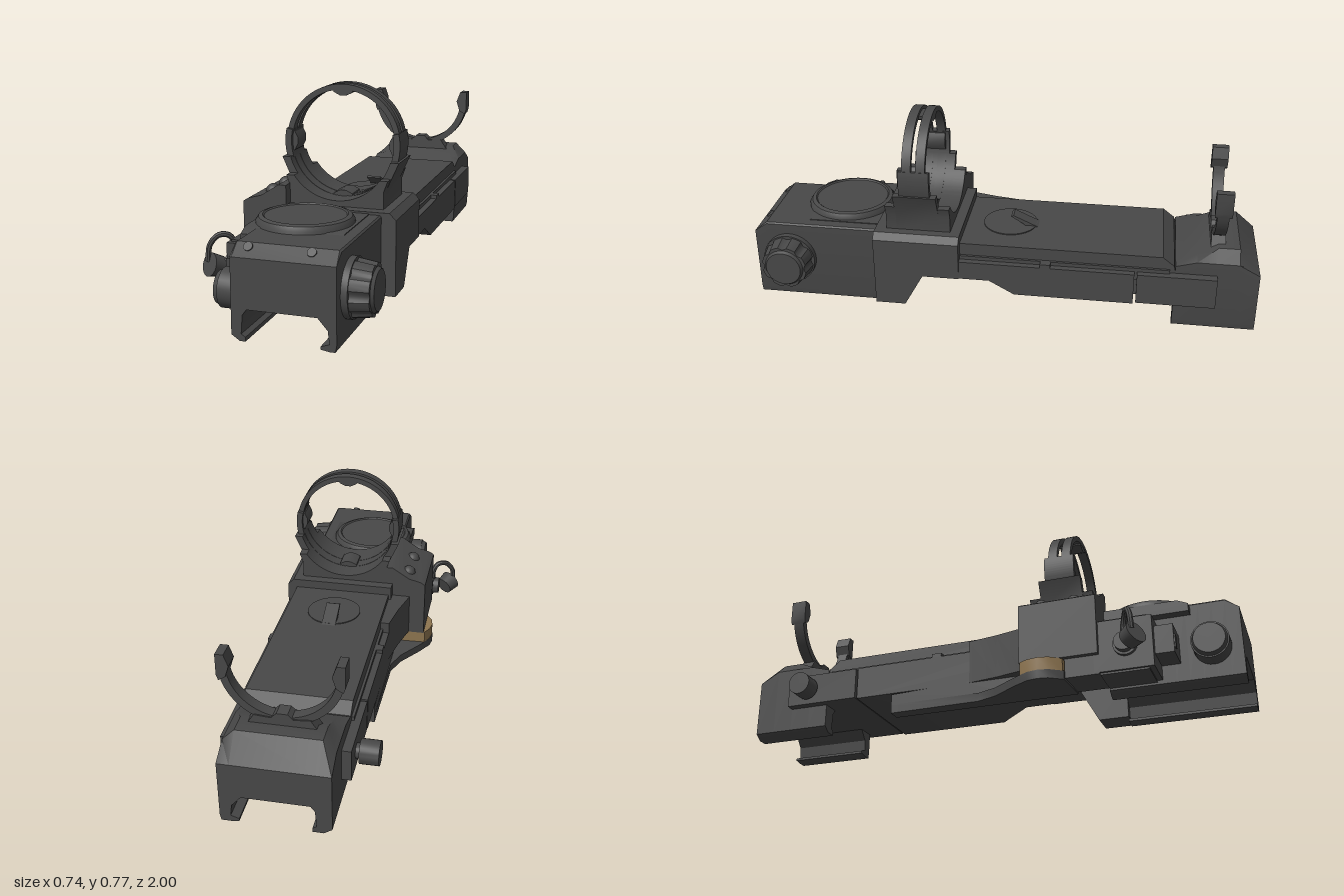
import * as THREE from 'three';
import { toCreasedNormals } from 'three/addons/utils/BufferGeometryUtils.js';

const grey = new THREE.MeshStandardMaterial({ color: 0x484848 });
grey.name = 'dark grey';
const gold = new THREE.MeshStandardMaterial({ color: 0x8e7550 });
gold.name = 'dull brass';

const CX = 0.08, CY = 0.555; // sight axis

export function createModel() {
  const root = new THREE.Group();
  root.name = 'railSight';

  const add = (name, geo, mat = grey) => {
    const m = new THREE.Mesh(toCreasedNormals(geo, 0.6), mat);
    m.name = name;
    root.add(m);
    return m;
  };
  const toShape = (p) => (p instanceof THREE.Shape ? p : new THREE.Shape(p.map(([a, b]) => new THREE.Vector2(a, b))));
  const ext = (p, depth, steps = 1) =>
    new THREE.ExtrudeGeometry(toShape(p), { depth, steps, bevelEnabled: false, curveSegments: 32 });
  // sections: (x,y) along z, (z,y) along x, (x,z) along y
  const alongZ = (p, z0, z1, steps) => ext(p, z1 - z0, steps).translate(0, 0, z0);
  const alongX = (p, x0, x1) => ext(p, x1 - x0).rotateY(-Math.PI / 2).translate(x1, 0, 0);
  const alongY = (p, y0, y1) => ext(p, y1 - y0).rotateX(Math.PI / 2).translate(0, y1, 0);
  const box = (x0, x1, y0, y1, z0, z1) =>
    new THREE.BoxGeometry(x1 - x0, y1 - y0, z1 - z0).translate((x0 + x1) / 2, (y0 + y1) / 2, (z0 + z1) / 2);
  // cylinder along x; r0 at x0, r1 at x1
  const cylX = (x0, x1, r0, r1, y, z, n = 28) =>
    new THREE.CylinderGeometry(r1, r0, x1 - x0, n).rotateZ(-Math.PI / 2).translate((x0 + x1) / 2, y, z);

  // Section of a block that clamps over a rail
  const clamp = (l, r, top, ch) => [
    [l, top - ch], [l, 0.02], [l + 0.03, 0], [-0.05, 0], [-0.05, 0.015], [-0.065, 0.025],
    [-0.06, 0.09], [-0.045, 0.11], [0.2, 0.11], [0.235, 0.07], [0.24, 0.025], [0.21, 0.015],
    [0.21, 0.005], [0.24, 0], [r - 0.005, 0], [r, 0.025], [r, top - ch], [r - ch, top], [l + ch, top]];

  // Front block, its top edge sloping at the nose
  const front = alongZ(clamp(-0.1, 0.265, 0.325, 0.006), 0.5, 1, 10);
  const fp = front.attributes.position;
  for (let i = 0; i < fp.count; i++) if (fp.getZ(i) > 0.98) fp.setY(i, Math.min(fp.getY(i), 0.285));
  front.computeVertexNormals();
  add('frontBlock', front);
  add('turretBase', alongX([[0.48, 0.28], [0.82, 0.28], [0.82, 0.31], [0.78, 0.328], [0.48, 0.328]], -0.14, 0.22));
  add('turretCap', new THREE.LatheGeometry([[0.175, 0.28], [0.175, 0.335], [0.165, 0.35], [0.15, 0.355], [0.145, 0.35], [0, 0.35]]
    .map(([a, b]) => new THREE.Vector2(a, b)), 48).translate(0.035, 0, 0.655));
  for (const x of [-0.048, 0.172]) {
    add('frontScrew', new THREE.CylinderGeometry(0.016, 0.016, 0.04, 16).rotateX(0.85).translate(x, 0.304, 0.955));
  }

  // Adjustment knob with a scalloped rim
  add('knobFlange', cylX(0.26, 0.288, 0.105, 0.105, 0.175, 0.86, 32));
  const knob = cylX(0.285, 0.355, 0.1, 0.09, 0, 0, 64);
  const kp = knob.attributes.position;
  for (let i = 0; i < kp.count; i++) {
    const s = 1 - 0.1 * Math.max(0, Math.cos(8 * Math.atan2(kp.getZ(i), kp.getY(i))));
    kp.setY(i, kp.getY(i) * s);
    kp.setZ(i, kp.getZ(i) * s);
  }
  add('knob', knob.translate(0, 0.175, 0.86));
  add('knobFace', cylX(0.354, 0.366, 0.078, 0.07, 0.175, 0.86, 32));

  // Switch side: battery box, round cover, port and tethered cap
  add('batteryBox', box(-0.25, -0.09, 0.035, 0.235, 0.48, 0.7));
  add('batteryLid', box(-0.24, -0.09, 0.028, 0.242, 0.5, 0.68));
  add('batteryStep', box(-0.22, -0.1, 0.09, 0.2, 0.69, 0.77));
  add('roundCover', cylX(-0.17, -0.09, 0.07, 0.07, 0.14, 0.89));
  add('roundCoverRim', cylX(-0.188, -0.168, 0.058, 0.066, 0.14, 0.89));
  add('coverLatch', box(-0.215, -0.19, 0.11, 0.16, 0.7, 0.775)).rotation.z = 0;
  add('port', cylX(-0.29, -0.24, 0.036, 0.036, 0.13, 0.6));
  add('portCollar', cylX(-0.265, -0.25, 0.045, 0.045, 0.13, 0.6));
  add('portCap', new THREE.CylinderGeometry(0.045, 0.038, 0.05, 20).rotateX(1.25).rotateY(-0.6).translate(-0.325, 0.125, 0.64));
  const strap = new THREE.CatmullRomCurve3([[-0.35, 0.14, 0.645], [-0.345, 0.2, 0.64], [-0.315, 0.237, 0.625],
    [-0.28, 0.235, 0.61], [-0.262, 0.2, 0.6], [-0.262, 0.15, 0.6]].map((a) => new THREE.Vector3(...a)));
  add('capStrap', new THREE.TubeGeometry(strap, 24, 0.011, 8));

  // Long body
  add('bodyCore', alongX([[0.5, 0.16], [0.04, 0.16], [-0.06, 0.105], [-0.525, 0.105], [-0.525, 0.235], [0.17, 0.235], [0.5, 0.235]], -0.155, 0.315));
  add('bodyDeck', alongX([[0.17, 0.2], [-0.69, 0.2], [-0.675, 0.265], [-0.63, 0.3], [0.17, 0.3]], -0.12, 0.28));
  add('bodyDeckEdge', box(-0.13, 0.29, 0.2, 0.25, -0.66, 0.17));
  add('rearLip', box(-0.155, 0.315, 0.11, 0.235, -0.84, -0.535));
  add('bodyLink', box(-0.11, 0.27, 0.12, 0.23, -0.7, -0.5));
  for (const z of [0.18, -0.18]) for (const x of [-0.142, 0.302]) {
    add('lipStud', box(x - 0.013, x + 0.013, 0.21, 0.25, z - 0.02, z + 0.02));
  }
  add('middleBlock', alongZ([[-0.13, 0.16], [0.32, 0.16], [0.32, 0.31], [0.295, 0.335], [-0.13, 0.335]], 0.16, 0.5));
  add('sideFoot', alongX([[0.5, 0.025], [0.38, 0.025], [0.3, 0.17], [0.5, 0.17]], 0.21, 0.32));

  // Toggle lever on the deck
  const disc = new THREE.Shape();
  disc.absarc(CX, -0.015, 0.108, 0, Math.PI * 2);
  const slot = new THREE.Path([[0.05, -0.12], [0.11, -0.12], [0.11, -0.02], [0.05, -0.02]].map((a) => new THREE.Vector2(...a)));
  disc.holes.push(slot);
  add('leverPlate', alongY(disc, 0.298, 0.304));
  add('lever', alongX([[-0.13, 0.3], [-0.03, 0.345], [-0.02, 0.34], [-0.07, 0.31], [-0.08, 0.3]], 0.052, 0.108));

  // Side housing with brass roller and lower slab
  add('sideHousing', alongZ([[-0.27, 0.105], [-0.1, 0.105], [-0.1, 0.41], [-0.13, 0.41], [-0.2, 0.365], [-0.25, 0.352], [-0.27, 0.34]], 0.2, 0.5));
  add('housingFoot', box(-0.25, -0.1, 0.03, 0.12, 0.37, 0.5));
  add('housingFairing', alongY([[-0.12, -0.04], [-0.155, -0.04], [-0.175, 0.08], [-0.205, 0.2], [-0.12, 0.2]], 0.105, 0.28));
  for (const z of [0.27, 0.4]) {
    add('housingBump', new THREE.SphereGeometry(0.028, 16, 10).translate(-0.19, 0.362, z));
  }
  add('slabFloor', alongY([[-0.1, -0.37], [-0.155, -0.37], [-0.16, 0], [-0.19, 0.08], [-0.26, 0.18], [-0.295, 0.24],
    [-0.302, 0.28], [-0.295, 0.32], [-0.26, 0.37], [-0.1, 0.38]], 0.022, 0.056));
  add('slabWall', alongX([[0.155, 0.03], [0.155, 0.16], [0.02, 0.16], [-0.06, 0.11], [-0.37, 0.1], [-0.37, 0.03]], -0.155, -0.1));
  add('brassRoller', alongY([[-0.13, 0.2], [-0.275, 0.205], [-0.293, 0.24], [-0.3, 0.28], [-0.293, 0.32], [-0.26, 0.365], [-0.13, 0.37]],
    0.055, 0.106), gold);

  // Front ring: twin hoops in a stepped cradle
  for (const z of [0.285, 0.34]) {
    const hoop = new THREE.Shape();
    hoop.absarc(CX, CY, 0.22, 0, Math.PI * 2);
    hoop.holes.push(new THREE.Path().absarc(CX, CY, 0.199, 0, Math.PI * 2));
    add('ringHoop', alongZ(hoop, z, z + 0.036));
  }
  const cradle = (a, y, half) => {
    const s = new THREE.Shape();
    s.moveTo(CX - half, y);
    s.lineTo(-0.1, 0.4);
    s.lineTo(-0.1, 0.32);
    s.lineTo(0.26, 0.32);
    s.lineTo(0.26, 0.4);
    s.lineTo(CX + half, y);
    s.absarc(CX, CY, 0.2, -a, -Math.PI + a, true);
    return s;
  };
  add('ringCradleBase', alongZ(cradle(0.61, 0.44, 0.195), 0.2, 0.455));
  add('ringCradle', alongZ(cradle(0.28, 0.5, 0.225), 0.245, 0.415));
  // Arc between two angles
  const arc = (r0, r1, a0, a1) => {
    const s = new THREE.Shape();
    s.absarc(CX, CY, r1, a0, a1, false);
    s.absarc(CX, CY, r0, a1, a0, true);
    return s;
  };
  for (const a of [-0.3, Math.PI - 0.22]) {
    add('ringSideBand', alongZ(arc(0.198, 0.222, a, a + 0.52), 0.27, 0.39));
  }
  for (let i = 0; i < 4; i++) {
    const nub = alongZ([[-0.04, -0.206], [0.04, -0.206], [0.036, -0.19], [0.012, -0.178], [-0.012, -0.178], [-0.036, -0.19]], 0.286, 0.375);
    add('ringNub', nub.rotateZ(i * Math.PI / 2).translate(CX, CY, 0));
  }

  // Rear block with sloping top ends
  const rear = alongZ(clamp(-0.12, 0.28, 0.333, 0.045), -1, -0.68, 4);
  const rp = rear.attributes.position, limits = [0.245, 0.333, 0.333, 0.3, 0.265];
  for (let i = 0; i < rp.count; i++) {
    rp.setY(i, Math.min(rp.getY(i), limits[Math.round((rp.getZ(i) + 1) / 0.08)]));
  }
  rear.computeVertexNormals();
  add('rearBlock', rear);
  add('rearKnob', cylX(-0.242, -0.17, 0.046, 0.046, 0.17, -0.745));
  add('rearKnobStem', cylX(-0.18, -0.11, 0.028, 0.028, 0.17, -0.745));

  // Rear sight: open half hoop with tips
  add('rearHoop', alongZ(arc(0.192, 0.22, Math.PI, Math.PI * 2), -0.86, -0.815));
  add('rearHoopFoot', alongZ([[-0.05, 0.32], [0.21, 0.32], [0.18, 0.365], [0.12, 0.36], [0.1, 0.38], [0.06, 0.38], [0.04, 0.36], [-0.02, 0.365]], -0.865, -0.81));
  for (const s of [-1, 1]) {
    const p = [[0.176, 0.553], [0.19, 0.51], [0.215, 0.495], [0.222, 0.515], [0.222, 0.597], [0.192, 0.597]];
    add('rearHoopTip', alongZ(p.map(([x, y]) => [CX + s * x, y]), -0.87, -0.805));
  }
  return root;
}
